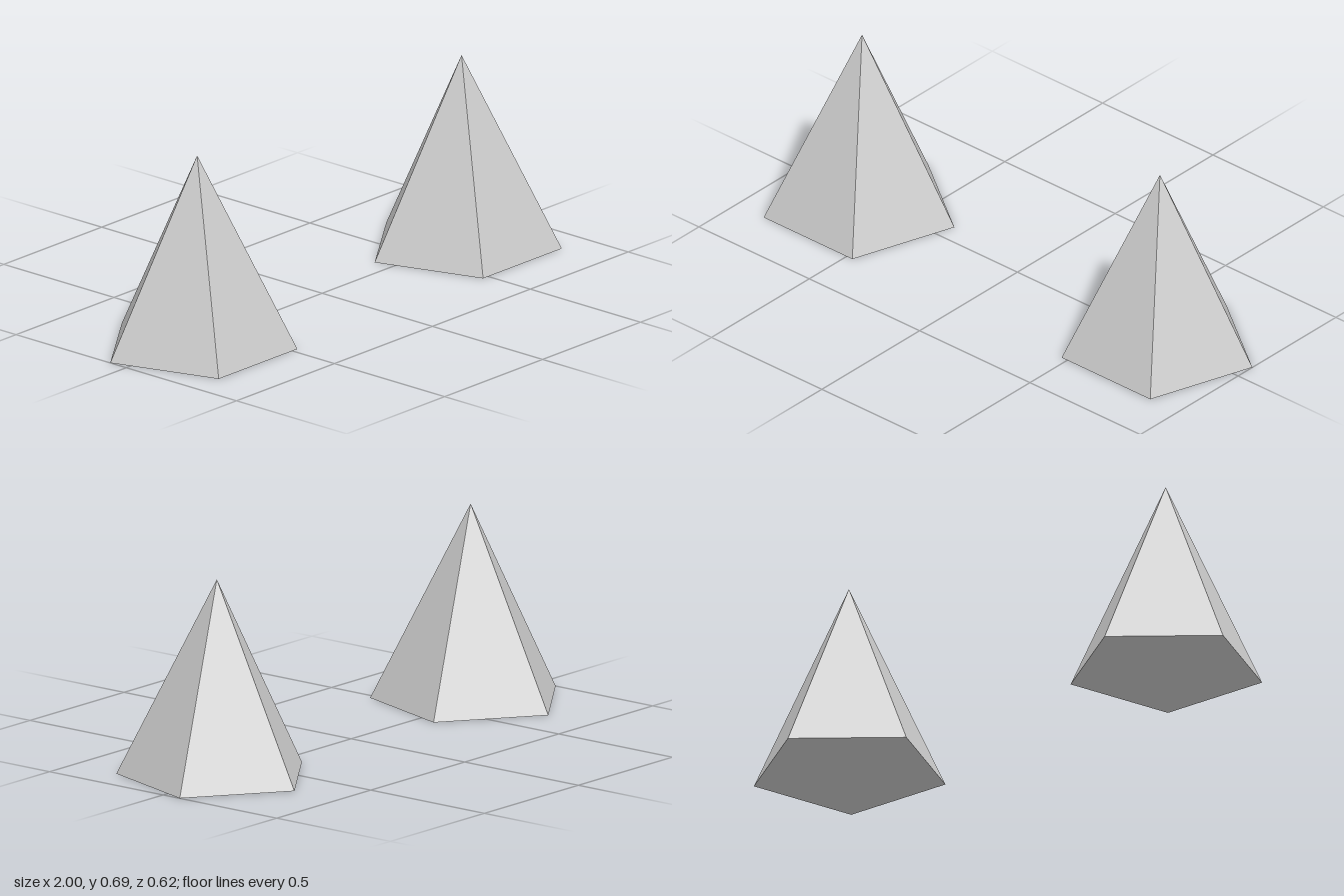
import * as THREE from 'three';

const RADIUS = 0.3416;
const HEIGHT = 0.685;
const SPACING = 0.675; // distance of each pyramid axis from the centre

export function createModel() {
  const model = new THREE.Group();
  model.name = 'pyramidPair';
  const material = new THREE.MeshStandardMaterial({ color: 0xcccccc, flatShading: true });

  // Five-sided pyramid with a closed base, one corner pointing back
  const geometry = new THREE.ConeGeometry(RADIUS, HEIGHT, 5, 1, false, Math.PI);
  // Centre the pentagon's depth on z = 0 and stand it on the ground
  const zOffset = RADIUS * (1 - Math.cos(Math.PI / 5)) / 2;
  geometry.translate(0, HEIGHT / 2, zOffset);

  for (const [name, side] of [['leftPyramid', 1], ['rightPyramid', -1]]) {
    const pyramid = new THREE.Mesh(geometry, material);
    pyramid.name = name;
    pyramid.position.x = side * SPACING;
    model.add(pyramid);
  }
  return model;
}
